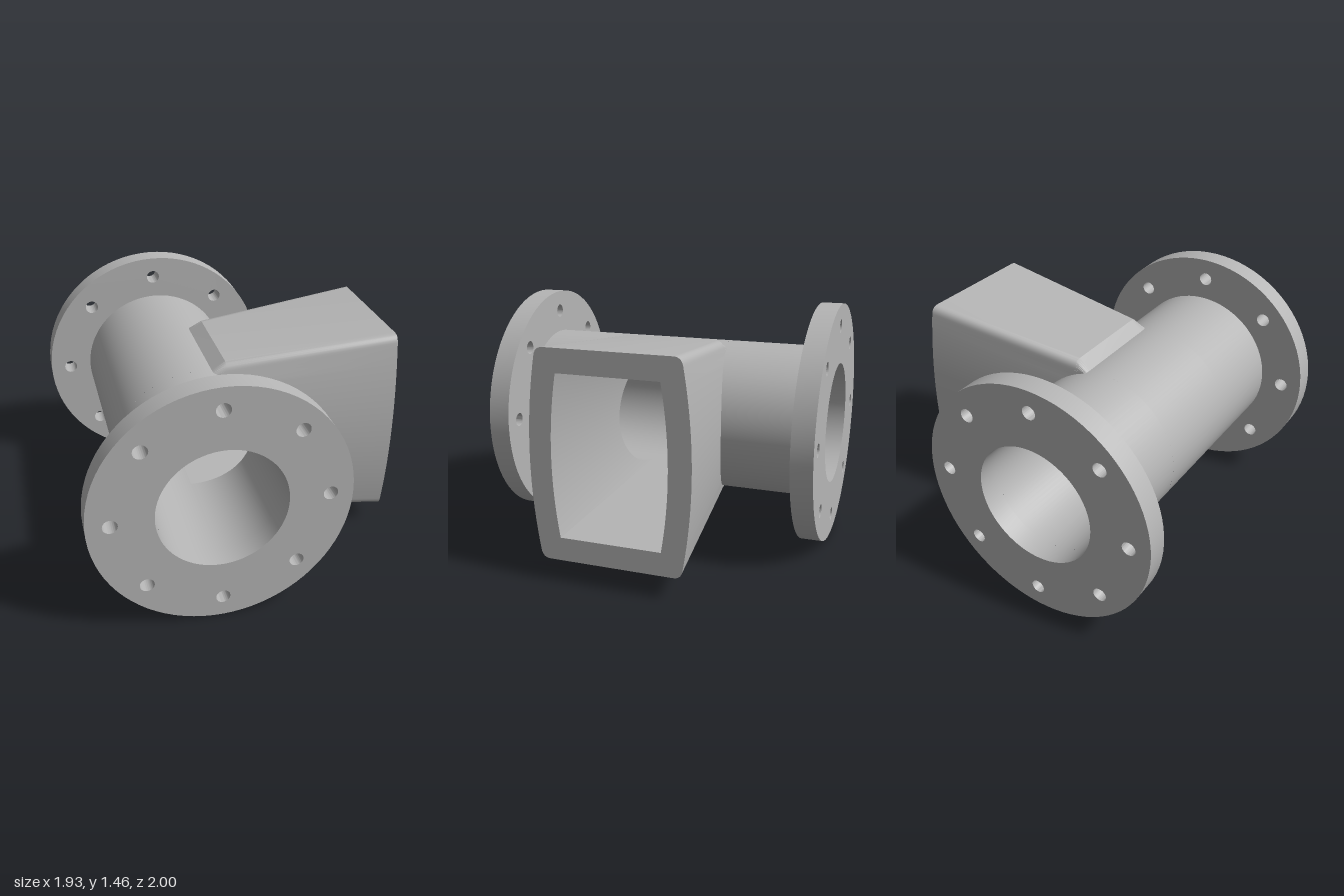
import * as THREE from 'three';
import { mergeGeometries, toCreasedNormals } from 'three/addons/utils/BufferGeometryUtils.js';

const CX = -0.235, CY = 0.735;            // pipe axis
const R_OUT = 0.465, R_BORE = 0.367;
const FLANGE_R = 0.73, FLANGE_T = 0.13;
const MOUTH = 0.965;                      // x of the branch opening
const N = 16, K = 6, HALF = 2 * (N + K) + 1;

const lerp = THREE.MathUtils.lerp;

// Skin a surface over rows of [x, y, z] points
function skin(rows, closed) {
  const n = rows[0].length, pos = rows.flat(2), idx = [];
  for (let r = 0; r < rows.length - 1; r++) {
    for (let i = 0; i < (closed ? n : n - 1); i++) {
      const a = r * n + i, c = r * n + (i + 1) % n, b = a + n, d = c + n;
      idx.push(a, b, c, c, b, d);
    }
  }
  const g = new THREE.BufferGeometry();
  g.setAttribute('position', new THREE.Float32BufferAttribute(pos, 3));
  g.setIndex(idx);
  return g;
}

const crease = (g) => toCreasedNormals(g, 0.5);

// Closed ring from the +z half, mirrored to -z
const mirrorRing = (half) => [...half, ...half.map(([x, y, z]) => [x, y, -z]).reverse()];

// Outer branch section: bulged sides, rounded corners; point i of the +z half
function outerPoint(x, i) {
  const t = (x + 0.04) / (MOUTH + 0.04), r = 0.045;
  const hy = lerp(0.503, 0.6, t), zc = lerp(0.322, 0.408, t), zm = lerp(0.376, 0.465, t);
  const side = (y) => zm - (zm - zc) * (y / hy) ** 2;
  const j = i - (N + K), s = Math.sign(j), a = Math.abs(j);
  if (a <= N) {
    const y = (hy - r) * Math.sin((a / N) * Math.PI / 2);
    return [x, s * y, side(y)];
  }
  const u = (a - N) / K, v = 1 - u;
  const y = v * v * (hy - r) + 2 * u * v * hy + u * u * hy;
  const z = v * v * side(hy - r) + 2 * u * v * zc + u * u * (zc - r);
  return [x, s * y, z];
}

// Passage section at height fraction f
function passagePoint(x, f) {
  const t = (x - CX) / (MOUTH - CX);
  const zc = lerp(0.21, 0.295, t), zm = lerp(0.272, 0.335, t);
  return [x, f * lerp(R_BORE, 0.465, t), zm - (zm - zc) * f * f];
}

export function createModel() {
  const group = new THREE.Group();
  const metal = new THREE.MeshStandardMaterial({ color: 0xb5b5b5 });
  metal.name = 'grey metal';
  const add = (name, geometry) => {
    const mesh = new THREE.Mesh(geometry, metal);
    mesh.name = name;
    mesh.position.y = CY;
    group.add(mesh);
    return mesh;
  };

  // Flanges with eight bolt holes
  const disc = new THREE.Shape().absarc(0, 0, FLANGE_R, 0, Math.PI * 2);
  const hole = (x, y, r) => disc.holes.push(new THREE.Path().absarc(x, y, r, 0, Math.PI * 2, true));
  hole(0, 0, R_BORE);
  for (let i = 0; i < 8; i++) {
    const a = (i * Math.PI) / 4;
    hole(0.6 * Math.cos(a), 0.6 * Math.sin(a), 0.041);
  }
  const flange = crease(new THREE.ExtrudeGeometry(disc, { depth: FLANGE_T, bevelEnabled: false, curveSegments: 40 }));
  add('frontFlange', flange).position.set(CX, CY, 1 - FLANGE_T);
  add('backFlange', flange).position.set(CX, CY, -1);

  // Outer pipe wall, left open beneath the branch
  const L = 1 - FLANGE_T, gap = 0.31, cut = THREE.MathUtils.degToRad(65);
  const tube = (z0, z1, start, length) =>
    new THREE.CylinderGeometry(R_OUT, R_OUT, z1 - z0, 80, 1, true, start, length)
      .rotateX(Math.PI / 2).translate(CX, 0, (z0 + z1) / 2);
  add('pipe', mergeGeometries([
    tube(-L, -gap, 0, Math.PI * 2),
    tube(gap, L, 0, Math.PI * 2),
    tube(-gap, gap, Math.PI / 2 + cut, Math.PI * 2 - 2 * cut),
  ]));

  // Bore, with the passage opening on its +x half
  const edge = [], mouthIn = [], back = [];
  for (let i = 0; i < HALF; i++) {
    const a = (i / (HALF - 1) - 0.5) * Math.PI;
    const x = CX + R_BORE * Math.cos(a), y = R_BORE * Math.sin(a);
    const f = y / passagePoint(x, 1)[1];
    edge.push([x, y, passagePoint(x, f)[2]]);
    mouthIn.push(passagePoint(MOUTH, f));
    back.push([CX - R_BORE * Math.cos(a), -y, 0]);
  }
  const atZ = (row, z) => row.map(([x, y]) => [x, y, z]);
  add('bore', crease(mergeGeometries([
    skin([edge, atZ(edge, L)]),
    skin([atZ(edge, -L), edge.map(([x, y, z]) => [x, y, -z])]),
    skin([atZ(back, -L), atZ(back, L)]),
  ])));

  // Branch: tapered outer shell that runs down into the pipe wall
  const root = [], start = [], mouthOut = [];
  for (let i = 0; i < HALF; i++) {
    let x = 0;
    for (let k = 0; k < 12; k++) {
      const y = outerPoint(x, i)[1];
      x = Math.max(-0.04, CX + Math.sqrt(Math.max(0, 0.44 ** 2 - y * y)));
    }
    const p = outerPoint(x, i);
    start.push(p);
    root.push(x > -0.04 ? p : [-0.13, THREE.MathUtils.clamp(p[1], -0.44, 0.44), p[2]]);
    mouthOut.push(outerPoint(MOUTH, i));
  }
  const outerRing = mirrorRing(mouthOut), innerRing = mirrorRing(mouthIn);
  add('branchShell', crease(skin([mirrorRing(root), mirrorRing(start), outerRing], true)));
  add('branchRim', crease(skin([outerRing, innerRing], true)));
  add('branchPassage', crease(skin([innerRing, mirrorRing(edge)], true)));

  return group;
}
